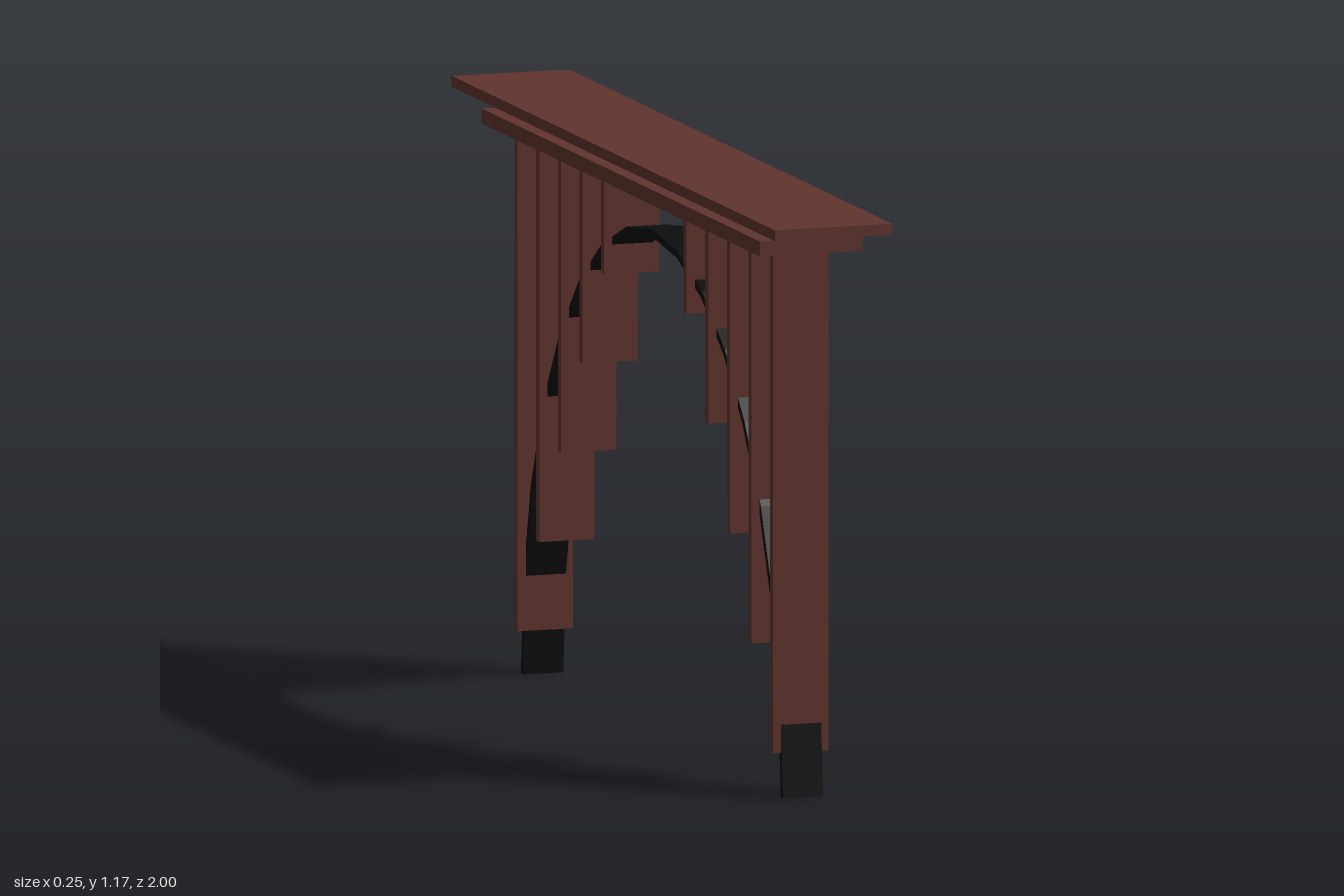
import * as THREE from 'three';

export function createModel() {
  const model = new THREE.Group();
  model.name = 'archBridge';
  const wood = new THREE.MeshStandardMaterial({ color: 0x60342d });
  wood.name = 'redBrownWood';
  const iron = new THREE.MeshStandardMaterial({ color: 0x0d0d0d });
  iron.name = 'blackIron';

  // box spanning y0..y1, centred on x and z
  function plank(name, width, y0, y1, depth, x = 0, z = 0) {
    const mesh = new THREE.Mesh(new THREE.BoxGeometry(width, y1 - y0, depth), wood);
    mesh.position.set(x, (y0 + y1) / 2, z);
    mesh.name = name;
    model.add(mesh);
  }

  // deck and the beam below it
  plank('deck', 0.246, 1.153, 1.175, 2);
  plank('beam', 0.214, 1.1, 1.13, 1.724);

  // flat posts, growing longer towards both ends
  for (let i = 0; i < 5; i++) {
    for (const side of [1, -1]) {
      plank('post', 0.116, 0.09 + 0.2 * i, 1.155, 0.019, -0.001, side * (0.79 - 0.1335 * i));
    }
  }

  // faceted half-elliptical arch strip
  const segments = 16;
  const outline = [];
  for (let i = 0; i <= segments; i++) {
    const a = (i / segments) * Math.PI;
    outline.push(new THREE.Vector2(0.811 * Math.cos(a), 1.018 * Math.sin(a)));
  }
  for (let i = segments; i >= 0; i--) {
    const a = (i / segments) * Math.PI;
    outline.push(new THREE.Vector2(0.797 * Math.cos(a), 1.003 * Math.sin(a)));
  }
  const geometry = new THREE.ExtrudeGeometry(new THREE.Shape(outline), {
    depth: 0.084, bevelEnabled: false,
  });
  geometry.translate(0, 0, -0.042);
  geometry.rotateY(Math.PI / 2);
  const arch = new THREE.Mesh(geometry, iron);
  arch.name = 'arch';
  model.add(arch);

  return model;
}
